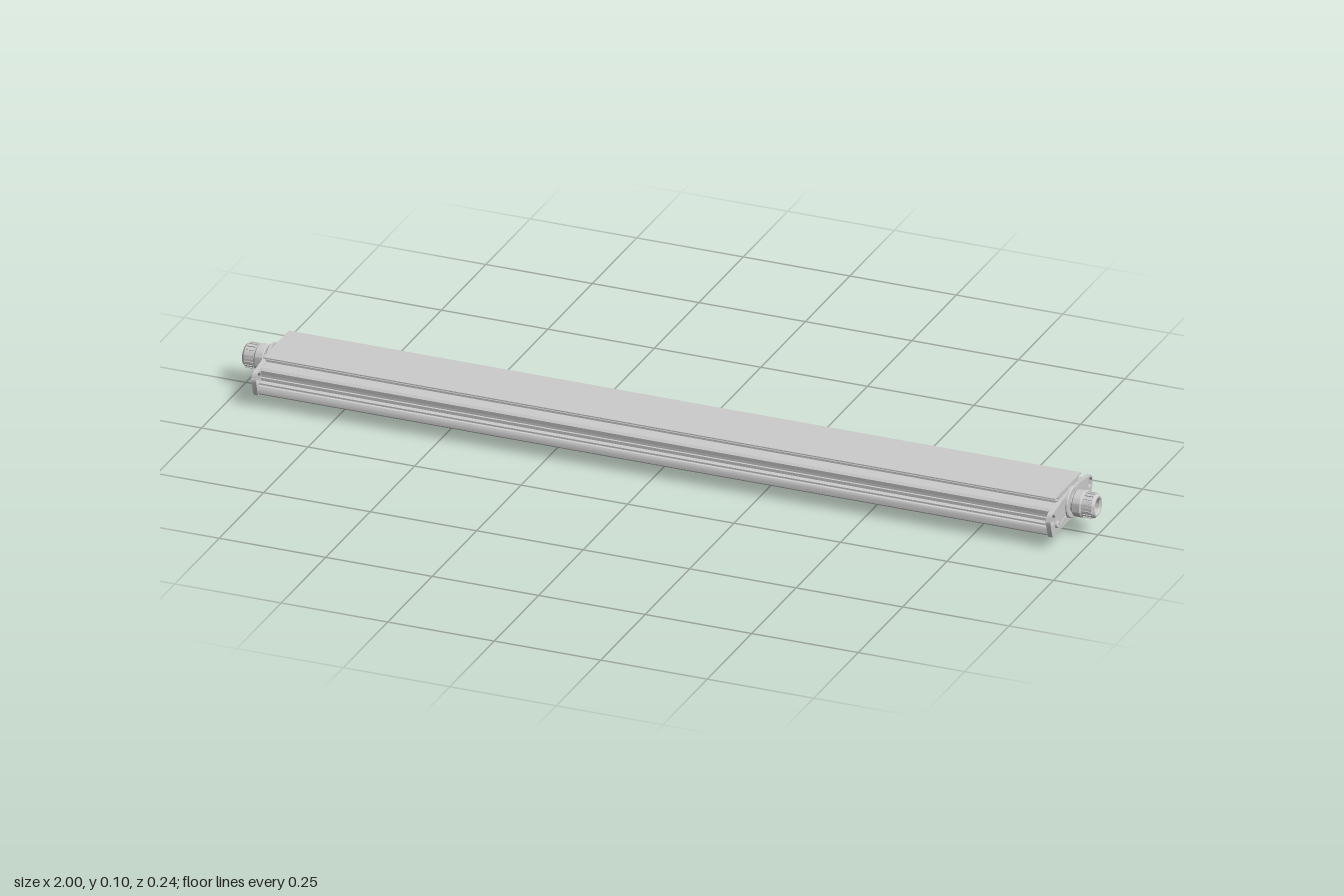
import * as THREE from 'three';
import { toCreasedNormals } from 'three/addons/utils/BufferGeometryUtils.js';

const grey = new THREE.MeshStandardMaterial({ color: 0xcccccc });

function part(name, geometry, x = 0, y = 0, z = 0) {
  const mesh = new THREE.Mesh(toCreasedNormals(geometry, 0.6), grey);
  mesh.name = name;
  mesh.position.set(x, y, z);
  return mesh;
}

// Closed outline in (z, y) mirrored from its right half
function mirrored(half) {
  const pts = half.map(([z, y]) => new THREE.Vector2(z, y));
  const other = half.slice().reverse().map(([z, y]) => new THREE.Vector2(-z, y));
  return new THREE.Shape([...pts, ...other]);
}

// Extrude a (z, y) shape along x between x0 and x1
function extrudeX(shape, x0, x1) {
  return new THREE.ExtrudeGeometry(shape, { depth: x1 - x0, bevelEnabled: false, curveSegments: 20 })
    .rotateY(Math.PI / 2).translate(x0, 0, 0);
}

function ellipseHole(z, y, rz, ry) {
  return new THREE.Path().absellipse(z, y, rz, ry, 0, Math.PI * 2, true);
}

// Skin over rounded rectangles [y, halfX, halfZ, radius] listed from top to bottom, closed underneath
function loft(rings, steps = 8) {
  const loops = [...rings, [rings[rings.length - 1][0], 0, 0, 0]].map(([y, hx, hz, r]) => {
    const loop = [];
    for (let c = 0; c < 4; c++) {
      const sx = c === 0 || c === 3 ? 1 : -1, sz = c < 2 ? 1 : -1;
      for (let i = 0; i <= steps; i++) {
        const a = (c + i / steps) * Math.PI / 2;
        loop.push([sx * (hx - r) + r * Math.cos(a), y, sz * (hz - r) + r * Math.sin(a)]);
      }
    }
    return loop;
  });
  const pos = [];
  for (let i = 0; i + 1 < loops.length; i++) {
    for (let j = 0, n = loops[0].length; j < n; j++) {
      const k = (j + 1) % n;
      pos.push(...loops[i][j], ...loops[i][k], ...loops[i + 1][j]);
      if (i + 2 < loops.length) pos.push(...loops[i][k], ...loops[i + 1][k], ...loops[i + 1][j]);
    }
  }
  const g = new THREE.BufferGeometry();
  g.setAttribute('position', new THREE.Float32BufferAttribute(pos, 3));
  return g;
}

function lathe(points, segments = 40) {
  return new THREE.LatheGeometry(points.map(([r, y]) => new THREE.Vector2(r, y)), segments);
}

// Screw head hanging under the body
function bottomScrew(x, z) {
  const g = lathe([[0, 0], [0.004, 0], [0.004, -0.004], [0.009, -0.004], [0.011, -0.002], [0.011, 0.012]]
    .map(([r, y]) => [r, y + 0.018]), 20);
  return part('bottomScrew', g, x, 0, z);
}

// End plate with lifting eyes, screws and a hollow cable gland, built for the +x end
function createEnd() {
  const end = new THREE.Group();
  const plate = mirrored([
    [0.107, 0.029], [0.119, 0.064], [0.119, 0.07], [0.116, 0.079], [0.109, 0.085],
    [0.085, 0.087], [0.062, 0.091], [0.045, 0.094],
  ]);
  plate.holes.push(ellipseHole(0, 0.068, 0.017, 0.017));
  for (const s of [-1, 1]) plate.holes.push(ellipseHole(s * 0.104, 0.069, 0.011, 0.012));
  end.add(part('endPlate', extrudeX(plate, 0.927, 0.938)));

  const gland = lathe([
    [0.016, 0.935], [0.036, 0.935], [0.036, 0.941], [0.034, 0.943], [0.021, 0.943], [0.021, 0.949],
    [0.028, 0.949], [0.03, 0.951], [0.03, 0.968], [0.027, 0.971], [0.027, 0.995], [0.023, 1],
    [0.019, 1], [0.016, 0.996], [0.016, 0.935],
  ]).rotateZ(-Math.PI / 2);
  end.add(part('cableGland', gland, 0, 0.068, 0));

  // Grip ribs around the gland nut
  for (let i = 0; i < 18; i++) {
    const a = i / 18 * Math.PI * 2;
    const rib = new THREE.BoxGeometry(0.02, 0.003, 0.003).translate(0, 0.0275, 0).rotateX(a);
    end.add(part('gripRib', rib, 0.983, 0.068, 0));
  }
  for (const s of [-1, 1]) {
    const screw = lathe([[0.008, 0], [0.008, 0.004], [0.006, 0.006], [0.004, 0.006], [0.004, 0.003], [0, 0.003]], 20)
      .rotateZ(-Math.PI / 2);
    end.add(part('endScrew', screw, 0.938, 0.051, s * 0.085));
    // Low rib running from each screw towards the gland
    const rib = new THREE.BoxGeometry(0.003, 0.003, 0.04).rotateX(s * 0.18);
    end.add(part('endRib', rib, 0.9385, 0.045, s * 0.055));
  }
  return end;
}

export function createModel() {
  const model = new THREE.Group();

  // Hollow extruded housing with an overhanging top and recessed, grooved sides
  const profile = mirrored([
    [0.103, 0.03], [0.107, 0.034], [0.107, 0.045], [0.104, 0.05], [0.099, 0.051], [0.099, 0.055],
    [0.09, 0.057], [0.09, 0.064], [0.087, 0.065], [0.087, 0.071], [0.09, 0.072], [0.091, 0.081],
    [0.086, 0.086], [0.06, 0.089], [0.06, 0.094], [0.054, 0.095], [0.054, 0.098], [0.06, 0.099],
    [0.06, 0.102], [0.073, 0.102], [0.073, 0.105],
  ]);
  const hollow = [[-0.05, 0.045], [0.05, 0.045], [0.05, 0.088], [-0.05, 0.088]];
  profile.holes.push(new THREE.Path(hollow.map(([z, y]) => new THREE.Vector2(z, y))));
  model.add(part('housing', extrudeX(profile, -0.93, 0.93)));

  // Two light panels, each a tapered frame with a long domed lens
  for (const x of [-0.51, 0.255]) {
    const panel = new THREE.Group();
    panel.name = 'lightPanel';
    panel.position.x = x;
    panel.add(part('panelFrame', loft([
      [0.031, 0.345, 0.049, 0.012], [0.026, 0.345, 0.049, 0.012],
      [0.014, 0.322, 0.045, 0.012], [0.012, 0.319, 0.042, 0.01],
    ])));
    const dome = [];
    for (let i = 0; i <= 7; i++) {
      const a = i / 7 * 1.45, w = 0.028 * Math.cos(a);
      dome.push([0.012 - 0.012 * Math.sin(a) / Math.sin(1.45), 0.285 + w, w, w]);
    }
    panel.add(part('lens', loft(dome)));
    for (const sx of [-1, 1]) for (const sz of [-1, 1]) panel.add(bottomScrew(sx * 0.3, sz * 0.06));
    model.add(panel);
  }

  // Access cover near the +x end
  const cover = new THREE.Group();
  cover.name = 'accessCover';
  cover.position.x = 0.76;
  cover.add(part('coverPlate', loft([
    [0.031, 0.1, 0.05, 0.015], [0.025, 0.1, 0.05, 0.015],
    [0.017, 0.09, 0.046, 0.015], [0.015, 0.087, 0.043, 0.013],
  ])));
  for (const sx of [-1, 1]) for (const sz of [-1, 1]) cover.add(bottomScrew(sx * 0.07, sz * 0.06));
  model.add(cover);

  // Matching ends
  const leftEnd = createEnd();
  leftEnd.name = 'leftEnd';
  const rightEnd = createEnd();
  rightEnd.name = 'rightEnd';
  rightEnd.rotation.y = Math.PI;
  model.add(leftEnd, rightEnd);
  return model;
}
